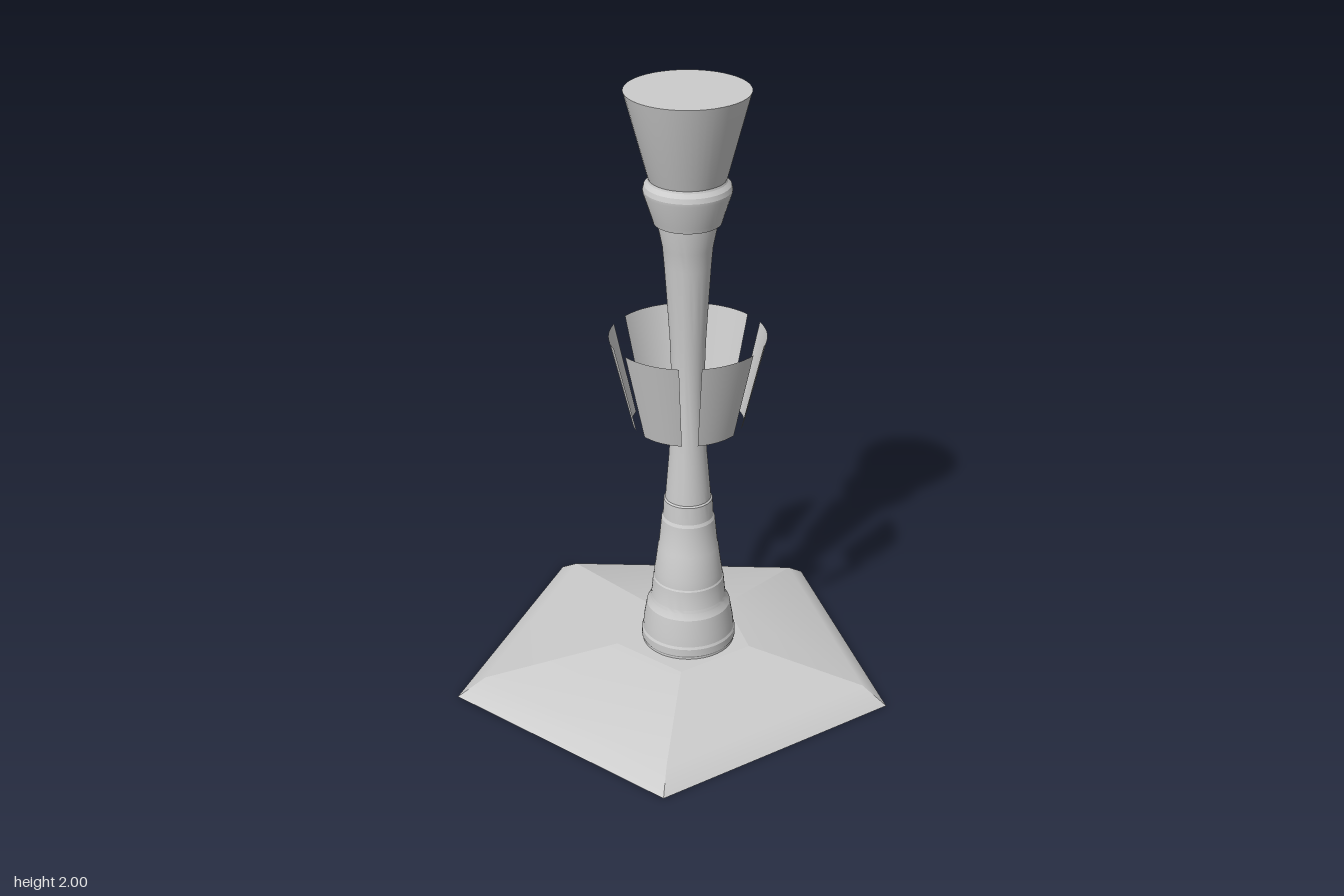
import * as THREE from 'three';
import { toCreasedNormals, mergeGeometries } from 'three/addons/utils/BufferGeometryUtils.js';

const AXIS_X = -0.022; // the post stands slightly off the middle of the base
const RAD = Math.PI / 180;

// Pentagonal foot: cross-sections shrink toward the post axis,
// smooth up each side and sharp along the five ridges.
function baseGeometry() {
  const rings = [[1, 0], [0.88, 0.06], [0.31, 0.123]]; // scale, height
  const corner = (i, [s, y]) => {
    const a = i * 72 * RAD;
    return [(Math.cos(a) * 0.7325 - 0.05) * s, y, Math.sin(a) * 0.7325 * s];
  };
  const make = (points, index) => {
    const g = new THREE.BufferGeometry();
    g.setAttribute('position', new THREE.Float32BufferAttribute(points.flat(), 3));
    g.setIndex(index);
    g.computeVertexNormals();
    return g;
  };
  const parts = [];
  for (let i = 0; i < 5; i++) {
    const points = rings.flatMap((r) => [corner(i, r), corner(i + 1, r)]);
    parts.push(make(points, [1, 0, 2, 1, 2, 3, 3, 2, 4, 3, 4, 5]));
    // underside and top cap wedges
    parts.push(make([[0, 0, 0], corner(i, rings[0]), corner(i + 1, rings[0])], [0, 1, 2]));
    parts.push(make([[0, 0.123, 0], corner(i + 1, rings[2]), corner(i, rings[2])], [0, 1, 2]));
  }
  return mergeGeometries(parts);
}

// Turned part from [radius, height] pairs, bottom to top
function turned(profile) {
  const points = profile.map(([r, y]) => new THREE.Vector2(r, y));
  return toCreasedNormals(new THREE.LatheGeometry(points, 48), 0.3);
}

export function createModel() {
  const model = new THREE.Group();
  model.name = 'pedestal';
  const grey = new THREE.MeshStandardMaterial({ color: 0xcccccc });
  const thin = new THREE.MeshStandardMaterial({ color: 0xcccccc, side: THREE.DoubleSide });

  const add = (name, geometry, material = grey, parent = model) => {
    const mesh = new THREE.Mesh(geometry, material);
    mesh.name = name;
    parent.add(mesh);
    return mesh;
  };

  add('base', baseGeometry());

  // Stepped, waisted shaft
  add('shaft', turned([
    [0.15, 0.11], [0.15, 0.13], [0.153, 0.135], [0.153, 0.16], [0.149, 0.168],
    [0.146, 0.2], [0.136, 0.26], [0.124, 0.28], [0.121, 0.29], [0.115, 0.355],
    [0.112, 0.36], [0.11, 0.385], [0.107, 0.4], [0.098, 0.472], [0.095, 0.48],
    [0.086, 0.575], [0.081, 0.585], [0.078, 0.645], [0.073, 0.65], [0.07, 0.69],
    [0.061, 0.8], [0.054, 0.92], [0.051, 1.05], [0.056, 1.2], [0.064, 1.33],
    [0.072, 1.45], [0.077, 1.51], [0.092, 1.585], [0.092, 1.6],
  ]));

  // Collar below the cup
  add('collar', turned([
    [0, 1.59], [0.104, 1.59], [0.108, 1.605], [0.134, 1.685], [0.135, 1.695],
    [0.131, 1.71], [0.12, 1.722], [0.116, 1.732], [0, 1.732],
  ]));

  // Solid flared cup with a flat top
  add('cup', turned([[0.116, 1.725], [0.12, 1.735], [0.19, 2], [0, 2]]));

  // Six thin flared panels around the waist
  const panels = new THREE.Group();
  panels.name = 'panelRing';
  for (let i = 0; i < 6; i++) {
    const panel = new THREE.CylinderGeometry(0.245, 0.175, 0.295, 10, 1, true, (90 + 60 * i) * RAD, 44 * RAD);
    add('panel' + (i + 1), panel, thin, panels).position.y = 1.067;
  }
  model.add(panels);

  for (const part of model.children) part.position.x = AXIS_X;
  return model;
}
